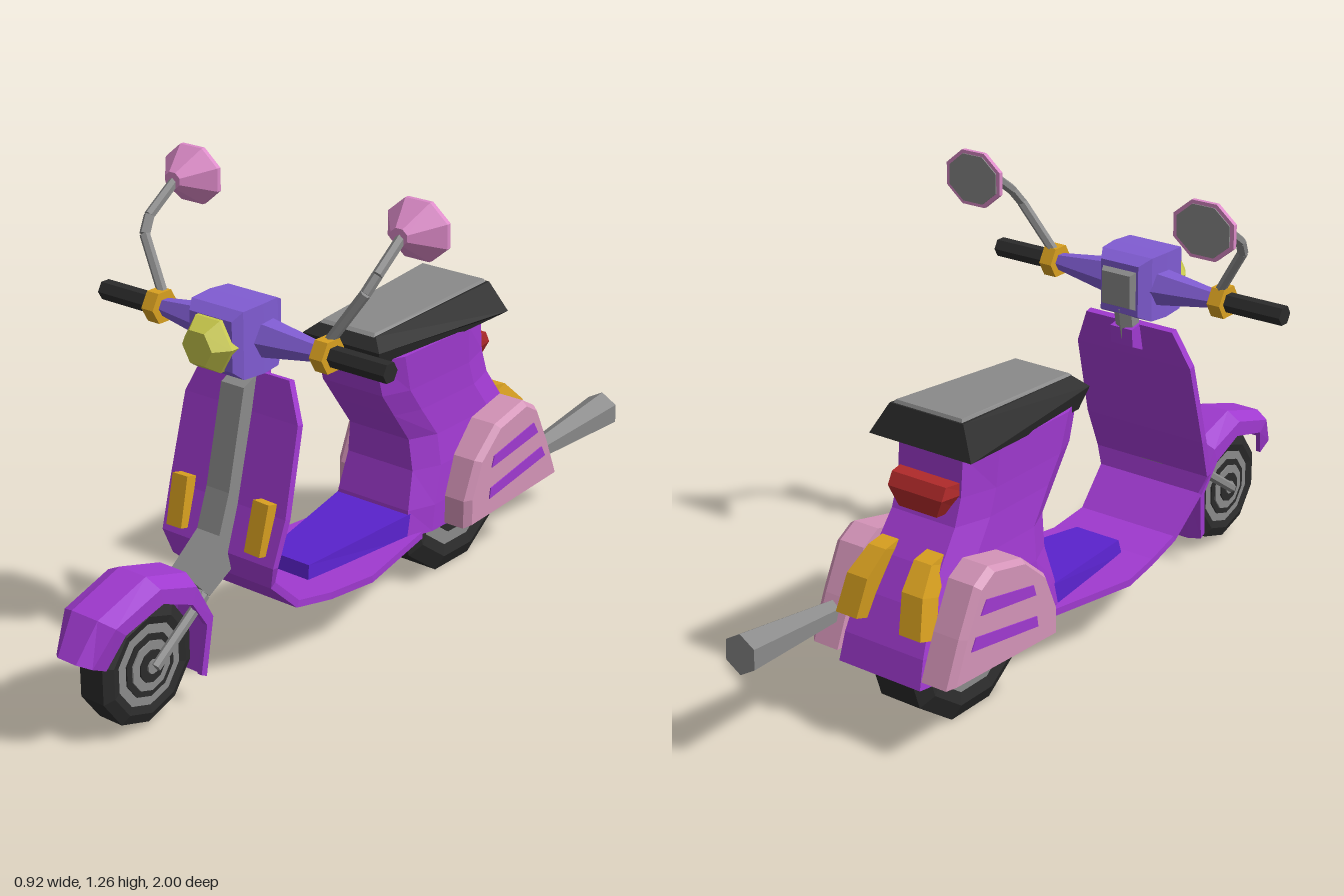
import * as THREE from 'three';

const material = (name, color) => {
  const m = new THREE.MeshStandardMaterial({ color });
  m.name = name;
  return m;
};
const purple = material('body purple', 0xa03ad0);
const violet = material('headset violet', 0x805cd2);
const indigo = material('mat indigo', 0x5a22cc);
const pink = material('panel pink', 0xd494b8);
const mirrorPink = material('mirror pink', 0xdc8ac8);
const amber = material('amber', 0xd8a020);
const yellow = material('headlight yellow', 0xc8c84c);
const grey = material('metal grey', 0x8a8a8a);
const black = material('rubber black', 0x2b2b2b);
const red = material('tail light red', 0xb02a2a);

// Faceted skin over equal rings of [x, y, z], with both ends capped
function loft(rings) {
  const n = rings[0].length, out = [];
  const quad = (a, b, c, d) => out.push(a, b, c, a, c, d);
  for (let i = 0; i < rings.length - 1; i++)
    for (let j = 0; j < n; j++) {
      const k = (j + 1) % n;
      quad(rings[i][j], rings[i][k], rings[i + 1][k], rings[i + 1][j]);
    }
  const first = rings[0], last = rings[rings.length - 1];
  for (let j = 0; j < n / 2 - 1; j++) {
    quad(first[n - 1 - j], first[n - 2 - j], first[j + 1], first[j]);
    quad(last[j], last[j + 1], last[n - 2 - j], last[n - 1 - j]);
  }
  // Turn every triangle outward when the enclosed volume is negative
  const v = out.map(p => new THREE.Vector3(...p));
  let volume = 0;
  for (let i = 0; i < v.length; i += 3)
    volume += v[i].dot(v[i + 1].clone().cross(v[i + 2]));
  if (volume < 0)
    for (let i = 0; i < v.length; i += 3) [v[i + 1], v[i + 2]] = [v[i + 2], v[i + 1]];
  const g = new THREE.BufferGeometry().setFromPoints(v);
  g.computeVertexNormals();
  return g;
}

const flat = g => {
  const f = g.toNonIndexed();
  f.computeVertexNormals();
  return f;
};

// Tapered prism from a to b
function beam(a, b, r1, r2, sides = 6) {
  const p = new THREE.Vector3(...a), d = new THREE.Vector3(...b).sub(p);
  const g = new THREE.CylinderGeometry(r2, r1, d.length(), sides);
  g.translate(0, d.length() / 2, 0);
  g.applyQuaternion(new THREE.Quaternion().setFromUnitVectors(new THREE.Vector3(0, 1, 0), d.normalize()));
  return flat(g.translate(p.x, p.y, p.z));
}

// Slab with a (z, y) outline, running from x0 to x1
const slab = (outline, x0, x1) => loft([x0, x1].map(x => outline.map(([z, y]) => [x, y, z])));

// Disc or frustum ring lying across the model on the x axis
const discRing = (r, x, sides, turn) => Array.from({ length: sides }, (_, i) => {
  const t = (i / sides) * Math.PI * 2 + turn;
  return [x, r * Math.sin(t), r * Math.cos(t)];
});

export function createModel() {
  const model = new THREE.Group();
  model.name = 'scooter';
  const add = (name, geometry, mat, parent = model) => {
    const m = new THREE.Mesh(geometry, mat);
    m.name = name;
    parent.add(m);
    return m;
  };

  // Wheels: bevelled tyre with stepped rim and hub discs
  function wheel(name, y, z, r, w, turn) {
    const g = new THREE.Group();
    g.name = name;
    g.position.set(0, y, z);
    const turned = pts => loft(pts.map(([x, rad]) => discRing(rad, x, 10, turn)));
    add('tyre', turned([[-w * 0.85, r * 0.62], [-w, r * 0.82], [-w * 0.75, r], [w * 0.75, r], [w, r * 0.82], [w * 0.85, r * 0.62]]), black, g);
    [[0.69, grey, 'rim'], [0.53, black, 'rimGap'], [0.42, grey, 'hub'], [0.27, black, 'hubGap'], [0.12, grey, 'axle']].forEach(([k, mat, part], i) => {
      const x = w * 0.9 + 0.004 * i;
      add(part, turned([[-x, r * k], [x, r * k]]), mat, g);
    });
    model.add(g);
  }
  wheel('frontWheel', 0.175, 0.77, 0.16, 0.05, Math.PI / 10);
  wheel('rearWheel', 0.233, -0.44, 0.245, 0.083, 0);

  // Front fender: U section swept over [outer z, outer y, inner z, inner y, half width]
  add('frontFender', loft([
    [1.0, 0.265, 0.93, 0.23, 0.06], [0.935, 0.36, 0.885, 0.315, 0.085], [0.77, 0.412, 0.757, 0.348, 0.087],
    [0.63, 0.37, 0.655, 0.305, 0.087], [0.565, 0.25, 0.6, 0.225, 0.082], [0.588, 0.075, 0.617, 0.09, 0.075],
  ].map(([zo, yo, zi, yi, w]) => {
    const at = (x, t) => [x, yo + (yi - yo) * t, zo + (zi - zo) * t];
    const half = [at(w, 1), at(w, 0.35), at(w * 0.5, 0)];
    const inner = [at(w * 0.45, 0.3), at(w - 0.015, 0.5), at(w - 0.015, 1)];
    const mirror = a => a.map(([x, y, z]) => [-x, y, z]).reverse();
    return [...half, ...mirror(half), ...mirror(inner), ...inner];
  })), purple);

  // Leg shield and floor: one thin ribbon of [z, y, half width]
  const path = [[0.35, 0.81, 0.14], [0.372, 0.71, 0.185], [0.43, 0.48, 0.192], [0.47, 0.36, 0.185], [0.455, 0.295, 0.165],
    [0.345, 0.195, 0.155], [0.22, 0.172, 0.165], [0.08, 0.174, 0.19], [-0.06, 0.178, 0.165], [-0.2, 0.182, 0.14]];
  add('legShieldAndFloor', loft(path.map(([z, y, w], i) => {
    const a = path[Math.max(i - 1, 0)], b = path[Math.min(i + 1, path.length - 1)];
    const l = Math.hypot(b[0] - a[0], b[1] - a[1]) / 0.02;
    const nz = (b[1] - a[1]) / l, ny = -(b[0] - a[0]) / l;
    return [[w, y, z], [-w, y, z], [-w, y + ny, z + nz], [w, y + ny, z + nz]];
  })), purple);
  add('floorMat', loft([
    [[0.075, 0.185, 0.205], [-0.075, 0.185, 0.205], [-0.13, 0.19, -0.18], [0.13, 0.19, -0.18]],
    [[0.07, 0.23, 0.195], [-0.07, 0.23, 0.195], [-0.125, 0.262, -0.18], [0.125, 0.262, -0.18]],
  ]), indigo);

  // Steering column, neck and fork
  add('steeringColumn', loft([-0.037, 0.037].map(x => [
    [0.4, 0.78], [0.462, 0.52], [0.5, 0.417], [0.607, 0.337], [0.54, 0.267], [0.46, 0.31], [0.42, 0.5], [0.345, 0.805],
  ].map(([z, y]) => [x, y, z]))), grey);
  add('neck', beam([0, 0.77, 0.33], [0, 0.86, 0.315], 0.032, 0.032), grey);
  add('shieldLatch', slab([[0.35, 0.81], [0.295, 0.8], [0.3, 0.75], [0.355, 0.725]], -0.035, 0.035), purple);
  add('forkCrown', beam([-0.068, 0.29, 0.6], [0.068, 0.29, 0.6], 0.022, 0.022), grey);

  // Headset, headlight and dial panel
  add('headset', loft([[0.285, 0.06, 0.07], [0.32, 0.08, 0.088], [0.38, 0.087, 0.09], [0.45, 0.083, 0.087], [0.475, 0.068, 0.065]].map(
    ([z, w, h]) => [[w, 0.915 + h, z], [w, 0.915 - h, z], [-w, 0.915 - h, z], [-w, 0.915 + h, z]])), violet);
  const hex = (r, z) => discRing(r, z, 6, 0).map(([d, y, x]) => [x, y + 0.912, d]);
  add('headlight', loft([hex(0.077, 0.44), hex(0.077, 0.485), hex(0.048, 0.525)]), yellow);
  add('dialPanel', loft([[0.3, 0.06], [0.268, 0.045]].map(([z, w]) =>
    [[w, 0.915 + w, z], [w, 0.915 - w, z], [-w, 0.915 - w, z], [-w, 0.915 + w, z]])), grey);

  // Paired parts
  for (const [s, side] of [[1, 'left'], [-1, 'right']]) {
    const n = part => side + part;
    add(n('ForkArm'), beam([s * 0.066, 0.175, 0.77], [s * 0.066, 0.3, 0.59], 0.014, 0.014), grey);
    add(n('Handlebar'), beam([s * 0.07, 0.912, 0.365], [s * 0.265, 0.915, 0.365], 0.052, 0.022), violet);
    add(n('Collar'), beam([s * 0.253, 0.915, 0.365], [s * 0.292, 0.915, 0.365], 0.046, 0.046), amber);
    add(n('Grip'), beam([s * 0.285, 0.915, 0.365], [s * 0.462, 0.915, 0.365], 0.027, 0.027), black);

    // Mirror stem and cup
    const stem = [[0.27, 0.945, 0.355], [0.355, 1.075, 0.325], [0.366, 1.115, 0.295], [0.364, 1.187, 0.195]];
    for (let i = 0; i < 3; i++)
      add(n('MirrorStem'), beam([s * stem[i][0], ...stem[i].slice(1)], [s * stem[i + 1][0], ...stem[i + 1].slice(1)], 0.014, 0.014), grey);
    const oct = (r, z) => discRing(r, z, 8, Math.PI / 8).map(([d, y, x]) => [s * 0.363 + x * 1.12, 1.187 + y * 0.93, d]);
    add(n('MirrorCup'), loft([oct(0.024, 0.21), oct(0.086, 0.138), oct(0.086, 0.126)]), mirrorPink);
    add(n('MirrorGlass'), loft([oct(0.075, 0.13), oct(0.075, 0.123)]), grey);

    // Indicator lights
    const lamp = add(n('FrontLamp'), new THREE.BoxGeometry(0.05, 0.135, 0.036), amber);
    lamp.position.set(s * 0.132, 0.45, 0.453);
    lamp.rotation.set(-0.245, 0, s * -0.03);
    add(n('RearLamp'), loft([[0.5, -0.57, 0.045, 0.098], [0.49, -0.625, 0.045, 0.1], [0.43, -0.685, 0.055, 0.12], [0.33, -0.715, 0.068, 0.135]].map(
      ([y, z, a, b]) => [[s * a, y, z], [s * b, y, z], [s * b, y - 0.02, z + 0.06], [s * a, y - 0.02, z + 0.06]])), amber);

    // Side panel with louvre slots
    const outline = [[-0.285, 0.2], [-0.285, 0.28], [-0.33, 0.385], [-0.42, 0.463], [-0.55, 0.492], [-0.605, 0.46], [-0.665, 0.34], [-0.715, 0.222]];
    add(n('SidePanel'), loft([[0.135, 1], [0.212, 1], [0.23, 0.92]].map(([x, k]) =>
      outline.map(([z, y]) => [s * x, 0.335 + (y - 0.335) * k, -0.49 + (z + 0.49) * k]))), pink);
    add(n('UpperSlot'), slab([[-0.395, 0.383], [-0.58, 0.42], [-0.602, 0.385], [-0.385, 0.352]], s * 0.226, s * 0.233), purple);
    add(n('LowerSlot'), slab([[-0.382, 0.292], [-0.622, 0.335], [-0.64, 0.303], [-0.377, 0.262]], s * 0.226, s * 0.233), purple);
  }

  // Rear body: stacked sections of [y, front z, rear z, front half width, side half width, rear half width]
  add('rearBody', loft([
    [0.73, -0.04, -0.5, 0.1, 0.135, 0.1], [0.625, -0.07, -0.51, 0.1, 0.13, 0.1], [0.555, -0.12, -0.535, 0.1, 0.13, 0.1],
    [0.465, -0.185, -0.6, 0.1, 0.135, 0.105], [0.375, -0.19, -0.65, 0.11, 0.145, 0.115],
    [0.27, -0.16, -0.695, 0.12, 0.15, 0.125], [0.195, -0.15, -0.715, 0.125, 0.15, 0.13],
  ].map(([y, f, r, wf, w, wr]) => {
    const half = [[wf, y, f], [w, y, f - 0.08], [w, y, r + 0.1], [wr, y, r]];
    return [...half, ...half.map(([x, h, z]) => [-x, h, z]).reverse()];
  })), purple);
  add('tailLight', loft([[0.662, -0.548, 0.1], [0.63, -0.565, 0.1], [0.578, -0.555, 0.07]].map(
    ([y, z, w]) => [[w, y, -0.48], [w * 0.85, y, z], [-w * 0.85, y, z], [-w, y, -0.48]])), red);

  // Seat: rows of [front z, front y, front half width, rear z, rear y, rear half width]
  const tray = rows => loft(rows.map(([zf, yf, wf, zr, yr, wr]) =>
    [[wf, yf, zf], [-wf, yf, zf], [-wr, yr, zr], [wr, yr, zr]]));
  add('seat', tray([[-0.045, 0.705, 0.11, -0.52, 0.732, 0.145], [-0.02, 0.765, 0.127, -0.543, 0.742, 0.16], [-0.05, 0.795, 0.092, -0.515, 0.824, 0.115]]), black);
  add('seatPad', tray([[-0.045, 0.794, 0.09, -0.51, 0.822, 0.108], [-0.055, 0.802, 0.085, -0.505, 0.832, 0.103]]), grey);

  // Exhaust on the left side
  add('exhaustPipe', beam([0.185, 0.28, -0.5], [0.185, 0.298, -0.7], 0.02, 0.028), grey);
  add('exhaustMuffler', beam([0.185, 0.297, -0.67], [0.188, 0.315, -0.997], 0.03, 0.054), grey);

  return model;
}
